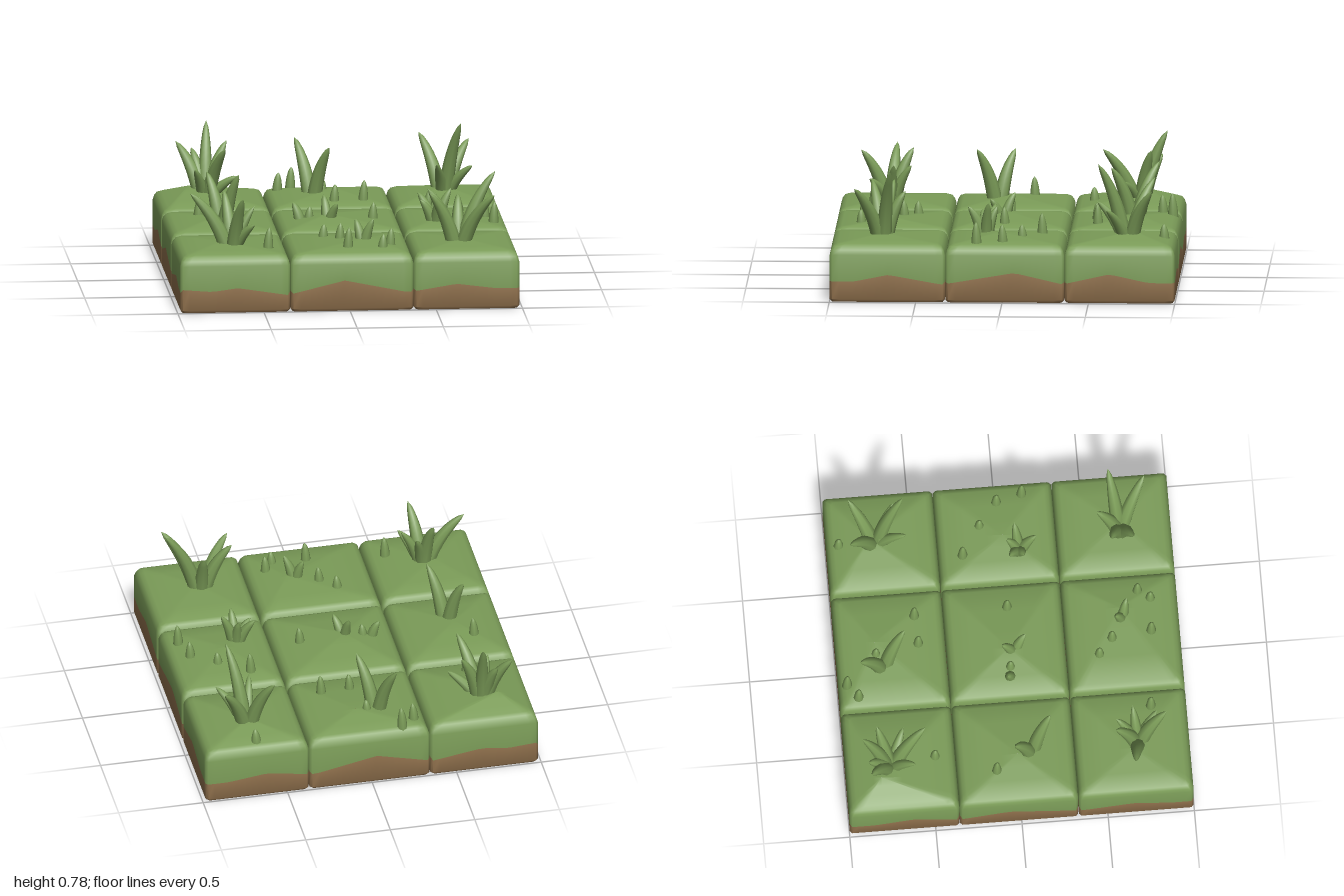
import * as THREE from 'three';
import { mergeVertices, mergeGeometries, toCreasedNormals } from 'three/addons/utils/BufferGeometryUtils.js';

const mat = (name, color) => Object.assign(new THREE.MeshStandardMaterial({ color }), { name });

// Tile borders and the wavy soil line along each axis, as [position, height]
const XS = [-0.985, -0.345, 0.37, 0.985];
const ZS = [-1, -0.36, 0.33, 1];
const SOIL_X = [[-0.985, 0.14], [-0.8, 0.125], [-0.65, 0.145], [-0.36, 0.1], [-0.03, 0.18], [0.34, 0.105], [0.62, 0.15], [0.85, 0.12], [0.985, 0.12]];
const SOIL_Z = [[-1, 0.12], [-0.85, 0.12], [-0.62, 0.17], [-0.35, 0.11], [-0.07, 0.175], [0.35, 0.105], [0.66, 0.16], [0.86, 0.12], [1, 0.12]];

// Peak of each tile's mound [x, z, y], row by row from the back
const PEAKS = [
  [-0.79, -0.8, 0.39], [0.05, -0.77, 0.37], [0.68, -0.75, 0.38],
  [-0.7, 0, 0.37], [-0.05, 0, 0.375], [0.65, 0.02, 0.365],
  [-0.72, 0.67, 0.36], [0.15, 0.66, 0.365], [0.68, 0.7, 0.36],
];

// Tufts: base [x, z], then blade tips [x, z, y]
const TUFTS = [
  [[-0.7, -0.74], [[-0.86, -0.86, 0.64], [-0.77, -0.87, 0.6], [-0.68, -0.9, 0.75], [-0.57, -0.81, 0.65], [-0.6, -0.53, 0.65], [-0.77, -0.6, 0.52], [-0.52, -0.65, 0.47]]],
  [[-0.08, -0.73], [[-0.17, -0.87, 0.65], [0.01, -0.6, 0.64]]],
  [[0.68, -0.72], [[0.55, -0.87, 0.67], [0.84, -0.86, 0.63], [0.77, -0.55, 0.78], [0.84, -0.6, 0.52], [0.63, -0.54, 0.54]]],
  [[-0.67, 0.08], [[-0.75, -0.02, 0.63], [-0.58, 0.2, 0.65]]],
  [[0.57, 0.11], [[0.47, 0.05, 0.5], [0.48, 0.13, 0.47], [0.58, 0.21, 0.5], [0.66, 0.09, 0.53], [0.57, 0.04, 0.5]]],
  [[-0.66, 0.7], [[-0.9, 0.67, 0.64], [-0.7, 0.57, 0.64], [-0.6, 0.58, 0.55], [-0.53, 0.68, 0.56], [-0.61, 0.87, 0.64], [-0.54, 0.82, 0.48]]],
  [[0.65, 0.7], [[0.48, 0.64, 0.64], [0.48, 0.77, 0.64], [0.66, 0.57, 0.6], [0.87, 0.65, 0.74], [0.85, 0.86, 0.64]]],
];
const SMALL_TUFTS = [
  [[-0.05, 0.03], [[-0.07, -0.04, 0.48], [0, 0.1, 0.45]]],
  [[-0.2, 0], [[-0.25, -0.02, 0.44]]],
  [[0.1, 0.67], [[0.06, 0.63, 0.47], [0.16, 0.7, 0.48]]],
];

// Single sprouts [x, z]
const SPROUTS = [
  [-0.67, -0.48], [-0.27, -0.89], [-0.19, -0.95], [-0.02, -0.77], [0.03, -0.52], [0.2, -0.53], [0.67, -0.93],
  [0.67, -0.69], [-0.79, -0.13], [-0.16, 0], [0.21, 0.01], [0.55, -0.22], [0.72, -0.11], [0.86, 0], [0.9, 0.15],
  [-0.12, 0.52], [-0.03, 0.6], [0, 0.83], [0.2, 0.84], [0.25, 0.77], [-0.46, 0.79],
];

function sample(knots, v) {
  for (let i = 1; i < knots.length; i++) {
    const [p, a] = knots[i - 1], [q, b] = knots[i];
    if (v <= q) return a + (b - a) * Math.max(0, (v - p) / (q - p));
  }
  return knots[knots.length - 1][1];
}

// Joins closed loops of equal length, lowest first
function skin(loops) {
  const n = loops[0].length, index = [];
  for (let j = 0; j < loops.length - 1; j++) {
    for (let i = 0; i < n; i++) {
      const k = (i + 1) % n, a = j * n + i, b = j * n + k;
      index.push(a, b, b + n, a, b + n, a + n);
    }
  }
  const geo = new THREE.BufferGeometry();
  geo.setAttribute('position', new THREE.Float32BufferAttribute(loops.flat(2), 3));
  geo.setIndex(index);
  return toCreasedNormals(geo, 0.9);
}

// Rectangle outline with clipped corners; height is a number or 'soil'
function outline(cx, cz, w, d, inset, height, steps = 16) {
  const pts = [], clip = 0.014, hw = w - inset, hd = d - inset;
  for (let side = 0; side < 4; side++) {
    for (let i = 0; i <= steps; i++) {
      const u = (i / steps) * 2 - 1, s = side < 2 ? 1 : -1, alongX = side % 2 === 0;
      const x = cx + (alongX ? s * u * (hw - clip) : s * hw);
      const z = cz + (alongX ? s * hd : -s * u * (hd - clip));
      pts.push([x, height === 'soil' ? (alongX ? sample(SOIL_X, x) : sample(SOIL_Z, z)) : height, z]);
    }
  }
  return pts;
}

function makeTile(col, row, soil, grass) {
  const cx = (XS[col] + XS[col + 1]) / 2, cz = (ZS[row] + ZS[row + 1]) / 2;
  const w = (XS[col + 1] - XS[col]) / 2 - 0.002, d = (ZS[row + 1] - ZS[row]) / 2 - 0.002;
  const ring = (inset, y) => outline(cx, cz, w, d, inset, y);
  const [px, pz, py] = PEAKS[row * 3 + col];
  const rim = ring(0.045, 0.335);
  const mound = [0.35, 0.7, 0.995].map(t => rim.map(([x, y, z]) =>
    [x + (px - x) * t, y + (py - y) * t, z + (pz - z) * t]));
  const tile = new THREE.Group();
  tile.name = 'groundTile';
  const base = new THREE.Mesh(skin([ring(0.012, 0), ring(0, 0.016), ring(0, 'soil')]), soil);
  base.name = 'soilLayer';
  const top = new THREE.Mesh(
    skin([ring(0, 'soil'), ring(0, 0.275), ring(0.008, 0.303), ring(0.022, 0.324), rim, ...mound]), grass);
  top.name = 'turfLayer';
  tile.add(base, top);
  return tile;
}

// Tapering blade that bends outward from its root
function blade([bx, bz], [tx, tz, ty], radius) {
  const rootY = 0.31;
  const root = new THREE.Vector3(bx + (tx - bx) * 0.12, rootY, bz + (tz - bz) * 0.12);
  const bend = new THREE.Vector3(bx + (tx - bx) * 0.35, rootY + (ty - rootY) * 0.6, bz + (tz - bz) * 0.35);
  const path = new THREE.QuadraticBezierCurve3(root, bend, new THREE.Vector3(tx, ty, tz));
  const rings = 12, sides = 8;
  const tube = new THREE.TubeGeometry(path, rings, 1, sides, false);
  const pos = tube.attributes.position, v = new THREE.Vector3();
  for (let i = 0; i <= rings; i++) {
    const t = i / rings, centre = path.getPointAt(t);
    const r = radius * Math.pow(Math.max(0, 1 - Math.pow(t, 1.9)), 0.6) + 0.001;
    for (let j = 0; j <= sides; j++) {
      const k = i * (sides + 1) + j;
      v.fromBufferAttribute(pos, k).sub(centre).multiplyScalar(r).add(centre);
      pos.setXYZ(k, v.x, v.y, v.z);
    }
  }
  tube.deleteAttribute('uv');
  tube.deleteAttribute('normal');
  const geo = mergeVertices(tube, 1e-5);
  geo.computeVertexNormals();
  return geo;
}

export function createModel() {
  const model = new THREE.Group();
  model.name = 'grassyGround';
  const grass = mat('grassGreen', 0x7b9c58);
  const soil = mat('soilBrown', 0x94744f);
  const add = (name, geo, material) => {
    const mesh = new THREE.Mesh(geo, material);
    mesh.name = name;
    model.add(mesh);
  };

  // Nine mounded tiles
  for (let row = 0; row < 3; row++) for (let col = 0; col < 3; col++) model.add(makeTile(col, row, soil, grass));

  // Underside: green middle with a brown border, widest at the corners
  const rect = (w, d, cut) => [[-w + cut, -d], [w - cut, -d], [w, -d + cut], [w, d - cut],
    [w - cut, d], [-w + cut, d], [-w, d - cut], [-w, -d + cut]].map(([x, y]) => new THREE.Vector2(x, y));
  const inner = rect(0.95, 0.965, 0.14);
  const border = new THREE.Shape(rect(0.973, 0.988, 0.01));
  border.holes.push(new THREE.Path(inner));
  add('undersideBorder', new THREE.ShapeGeometry(border).rotateX(Math.PI / 2), soil);
  add('underside', new THREE.ShapeGeometry(new THREE.Shape(inner)).rotateX(Math.PI / 2), grass);

  // Grass tufts and sprouts
  for (const [base, tips] of TUFTS) {
    add('grassTuft', mergeGeometries(tips.map(tip => blade(base, tip, tip[2] > 0.58 ? 0.042 : 0.034))), grass);
  }
  for (const [base, tips] of SMALL_TUFTS) {
    add('smallTuft', mergeGeometries(tips.map(tip => blade(base, tip, 0.032))), grass);
  }
  SPROUTS.forEach(([x, z], i) => {
    add('sprout', blade([x, z], [x + 0.008, z + 0.004, 0.42 + 0.02 * (i % 3)], 0.029), grass);
  });
  return model;
}
